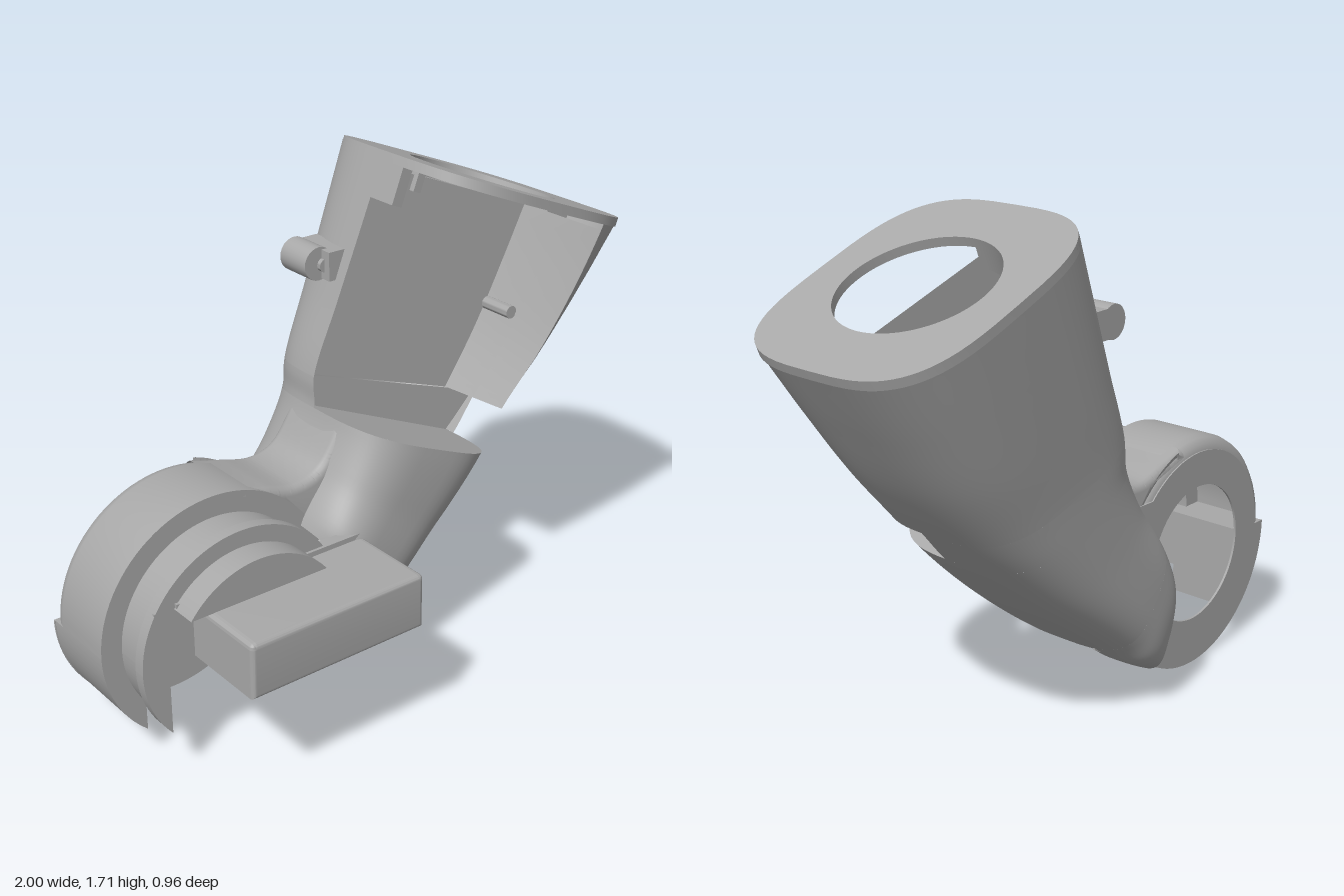
import * as THREE from 'three';
import { toCreasedNormals } from 'three/addons/utils/BufferGeometryUtils.js';
import { ParametricGeometry } from 'three/addons/geometries/ParametricGeometry.js';

const V = (x, y, z) => new THREE.Vector3(x, y, z);
const PI = Math.PI;

// Arm cross-sections: left edge (x, y, back z) and right edge (x, y, front z), from top to elbow
const leftRail = new THREE.CatmullRomCurve3([
  V(0.18, 1.71, -0.48), V(0.09, 1.48, -0.46), V(0, 1.25, -0.44), V(-0.09, 1.02, -0.42), V(-0.10, 0.92, -0.415),
  V(-0.17, 0.77, -0.41), V(-0.27, 0.62, -0.41), V(-0.32, 0.45, -0.40), V(-0.31, 0.28, -0.36), V(-0.28, 0.14, -0.29)]);
const rightRail = new THREE.CatmullRomCurve3([
  V(1.0, 1.39, 0.26), V(0.86, 1.18, 0.23), V(0.72, 0.98, 0.195), V(0.57, 0.80, 0.165), V(0.46, 0.68, 0.185),
  V(0.25, 0.48, 0.19), V(-0.04, 0.25, 0.18), V(-0.16, 0.17, -0.09), V(-0.25, 0.12, -0.13), V(-0.27, 0.11, -0.20)]);
const POWER = 2 / 3.3;
const bulge = (c) => Math.sign(c) * Math.abs(c) ** POWER;

// Point on the arm skin at row 0..9 and angle (0 = right, PI/2 = front, PI = left)
function skin(row, angle, out) {
  const l = leftRail.getPoint(row / 9), r = rightRail.getPoint(row / 9);
  const k = (bulge(Math.cos(angle)) + 1) / 2;
  const z = (l.z + r.z) / 2 + bulge(Math.sin(angle)) * (r.z - l.z) / 2;
  return out.set(l.x + (r.x - l.x) * k, l.y + (r.y - l.y) * k, z);
}

export function createModel() {
  const group = new THREE.Group();
  const grey = new THREE.MeshStandardMaterial({ color: 0xa8a8a8, side: THREE.DoubleSide });
  grey.name = 'shell grey';

  const add = (name, geometry, parent = group) => {
    const mesh = new THREE.Mesh(geometry, grey);
    mesh.name = name;
    parent.add(mesh);
  };
  const surface = (name, fn, nu, nv) => {
    const g = new ParametricGeometry(fn, nu, nv);
    g.computeVertexNormals();
    add(name, g);
  };
  const skinPatch = (name, row0, row1, from, to, nu, nv) =>
    surface(name, (u, v, p) => {
      const a = from(v);
      skin(row0 + (row1 - row0) * v, a + (to(v) - a) * u, p);
    }, nu, nv);
  const slab = (name, shape, z0, z1, parent = group, bevel = 0) => {
    const g = new THREE.ExtrudeGeometry(shape, {
      depth: z1 - z0 - 2 * bevel, curveSegments: 40, bevelEnabled: bevel > 0,
      bevelThickness: bevel, bevelSize: bevel, bevelOffset: -bevel, bevelSegments: 4,
    });
    g.translate(0, 0, z0 + bevel);
    add(name, toCreasedNormals(g, 0.6), parent);
  };
  const polygon = (pts) => new THREE.Shape(pts.map(([x, y]) => new THREE.Vector2(x, y)));
  const box = (name, x0, x1, y0, y1, z0, z1) =>
    add(name, new THREE.BoxGeometry(x1 - x0, y1 - y0, z1 - z0)
      .translate((x0 + x1) / 2, (y0 + y1) / 2, (z0 + z1) / 2));

  // Arm skin: open window on top, full tube at the elbow, pointed tail behind
  const windowEdge = (v) => 1.2 - 0.45 * v;
  const tailTrim = (v) => Math.max(0, 0.25 - 0.75 * v);
  skinPatch('upperArmShell', 0.05, 3, () => PI, (v) => 2 * PI + windowEdge(v), 56, 24);
  skinPatch('ledgeShell', 3, 4, () => PI, () => 2 * PI + 0.04, 40, 6);
  skinPatch('elbowShell', 4, 6, () => 0, () => 2 * PI, 72, 16);
  skinPatch('elbowTail', 6, 9, (v) => PI + tailTrim(v), (v) => 2 * PI - tailTrim(v), 40, 24);

  // Slightly turned flat panel inside the window, its side wall and the step below it
  const onPanel = (row, k, p) => {
    const l = leftRail.getPoint(row / 9), r = rightRail.getPoint(row / 9);
    const x = l.x + (r.x - l.x) * k;
    return p.set(x, l.y + (r.y - l.y) * k, -0.155 + 0.08 * x);
  };
  const wallAt = (v) => 0.75 + 0.08 * v;
  surface('windowPanel', (u, v, p) => onPanel(0.2 + 2.8 * v, 0.01 + (wallAt(v) - 0.01) * u, p), 4, 16);
  surface('windowSideWall', (u, v, p) => {
    const top = skin(0.2 + 2.8 * v, windowEdge(v), V(0, 0, 0));
    onPanel(0.2 + 2.8 * v, wallAt(v), p).lerp(top, u);
  }, 2, 16);
  surface('stepRiser', (u, v, p) => {
    onPanel(3 + v, 0.01 + 0.98 * u, p);
    p.z += 0.012;
  }, 4, 4);
  surface('windowLedge', (u, v, p) => {
    const a = PI * (1 - u);
    const edge = skin(4, a, V(0, 0, 0));
    onPanel(4, (bulge(Math.cos(a)) + 1) / 2, p).lerp(edge, v);
  }, 40, 2);

  // Slanted end cap, local x along the slope and local y towards the back
  const cap = new THREE.Group();
  cap.name = 'endCap';
  const slope = V(0.82, -0.32, 0).normalize();
  const normal = V(-slope.y, slope.x, 0);
  cap.applyMatrix4(new THREE.Matrix4().makeBasis(slope, V(0, 0, -1), normal).setPosition(0.59, 1.55, -0.11));
  group.add(cap);
  const rim = [];
  for (let i = 0; i < 72; i++) {
    const a = i / 72 * 2 * PI;
    rim.push([0.438 * bulge(Math.cos(a)), 0.37 * bulge(Math.sin(a))]);
  }
  const capShape = polygon(rim);
  capShape.holes.push(new THREE.Path().absarc(0, 0, 0.245, 0, 2 * PI, true));
  slab('capPlate', capShape, -0.03, 0, cap);
  const arcBand = (r0, r1, a0, a1) => {
    const s = new THREE.Shape();
    s.absarc(0, 0, r1, a0, a1, false);
    s.absarc(0, 0, r0, a1, a0, true);
    return s;
  };
  slab('capCollar', arcBand(0.245, 0.275, 0, PI), -0.1, -0.03, cap);
  slab('capInnerLip', arcBand(0.2, 0.25, 0.5, 2.2), -0.1, -0.06, cap);
  const addClip = (name, x, y, w, h, d) =>
    add(name, new THREE.BoxGeometry(w, h, d).translate(x, y, -0.03 - d / 2), cap);
  addClip('capClipRight', 0.29, -0.06, 0.1, 0.08, 0.1);
  addClip('capClipLeft', -0.4, 0.0, 0.04, 0.16, 0.12);

  // Hinge lug on the left edge and screw boss
  const pin = (name, x, y, r, z0, z1) =>
    add(name, toCreasedNormals(new THREE.CylinderGeometry(r, r, z1 - z0, 24).rotateX(PI / 2), 0.6)
      .translate(x, y, (z0 + z1) / 2));
  pin('hingeLug', -0.01, 1.36, 0.055, -0.33, -0.2);
  pin('hingePin', 0.005, 1.355, 0.022, -0.2, -0.185);
  box('hingeTab', 0, 0.08, 1.31, 1.405, -0.33, -0.16);
  pin('panelScrew', 0.62, 1.11, 0.022, -0.1, 0.02);

  // Round joint housing: hollow stepped half turn above the hinge line
  const CX = -0.59, CY = 0.415;
  const halfTurn = (name, points, trim) => add(name, toCreasedNormals(
    new THREE.LatheGeometry(points.map(([r, z]) => new THREE.Vector2(r, z)), 48, PI / 2 + trim, PI - 2 * trim)
      .rotateX(PI / 2), 0.6).translate(CX, CY, 0));
  halfTurn('jointHousing', [[0.243, -0.25], [0.36, -0.25], [0.385, -0.243], [0.403, -0.225], [0.41, -0.2],
    [0.41, 0.03], [0.34, 0.03], [0.34, 0.14], [0.36, 0.14], [0.36, 0.18], [0.3, 0.18]], 0);

  // Raised round face above the block
  const STEP = 0.65;
  halfTurn('faceRim', [[0.305, 0.18], [0.305, 0.262]], STEP);
  const face = new THREE.Shape();
  face.absarc(CX, CY, 0.305, STEP, PI - STEP, false);
  slab('roundFace', face, 0.262, 0.27);

  // Housing wall continuing down on the far side, cut off straight
  const tail = (name, r, z0, z1) => {
    const s = new THREE.Shape();
    s.moveTo(-0.86, CY);
    s.lineTo(CX - r, CY);
    s.absarc(CX, CY, r, PI, PI + Math.acos((CX + 0.86) / r), false);
    slab(name, s, z0, z1);
  };
  tail('housingTail', 0.41, -0.25, 0.03);
  tail('stepTail', 0.34, 0.03, 0.14);
  tail('flangeTail', 0.36, 0.14, 0.18);

  // Thin ring plate at the back, running into the elbow
  const plate = new THREE.Shape();
  plate.moveTo(-0.04, 0.25);
  plate.lineTo(-0.04, 0.6);
  plate.lineTo(-0.25, 0.68);
  plate.absarc(CX, CY, 0.365, 0.8, PI, false);
  plate.absarc(CX, CY, 0.412, PI, 2 * PI - 1.13, false);
  plate.lineTo(-0.26, 0.12);
  plate.holes.push(new THREE.Path().absarc(CX, CY, 0.243, 0, 2 * PI, true));
  slab('ringPlate', plate, -0.253, -0.245);

  // Curved neck joining the housing and the arm
  const neck = new THREE.Shape();
  neck.moveTo(-0.5, 0.814);
  neck.splineThru([[-0.39, 0.783], [-0.275, 0.757], [-0.18, 0.786], [-0.105, 0.89]]
    .map(([x, y]) => new THREE.Vector2(x, y)));
  neck.lineTo(0.03, 0.8);
  neck.lineTo(-0.15, 0.5);
  neck.lineTo(-0.22, 0.55);
  neck.absarc(CX, CY, 0.38, 0.34, 1.3, false);
  slab('neck', neck, -0.25, 0.03, group, 0.03);

  // Projecting block on the front of the joint: open below and behind, with shelves beside it
  const X0 = -0.77, X1 = -0.14, Y0 = 0.415, Y1 = 0.6, WALL = 0.025, R = 0.02;
  const outline = (s) => {
    s.moveTo(X0, Y0);
    s.lineTo(X0, Y1 - R);
    s.quadraticCurveTo(X0, Y1, X0 + R, Y1);
    s.lineTo(X1 - R, Y1);
    s.quadraticCurveTo(X1, Y1, X1, Y1 - R);
    s.lineTo(X1, Y0);
    return s;
  };
  const arch = outline(new THREE.Shape());
  arch.lineTo(X1 - WALL, Y0);
  arch.lineTo(X1 - WALL, Y1 - WALL);
  arch.lineTo(X0 + WALL, Y1 - WALL);
  arch.lineTo(X0 + WALL, Y0);
  slab('blockWalls', arch, 0.17, 0.46);
  slab('blockFront', outline(new THREE.Shape()), 0.445, 0.48, group, 0.015);
  box('blockShelfLeft', -0.9, X0 + WALL, Y0, 0.605, 0.172, 0.18);
  box('blockShelfRight', X1 - WALL, -0.06, 0.43, 0.605, 0.14, 0.19);
  box('blockShelfTop', -0.83, -0.06, 0.597, 0.617, 0.15, 0.19);
  box('blockTab', X1, -0.06, Y0, 0.47, 0.17, 0.2);

  return group;
}
